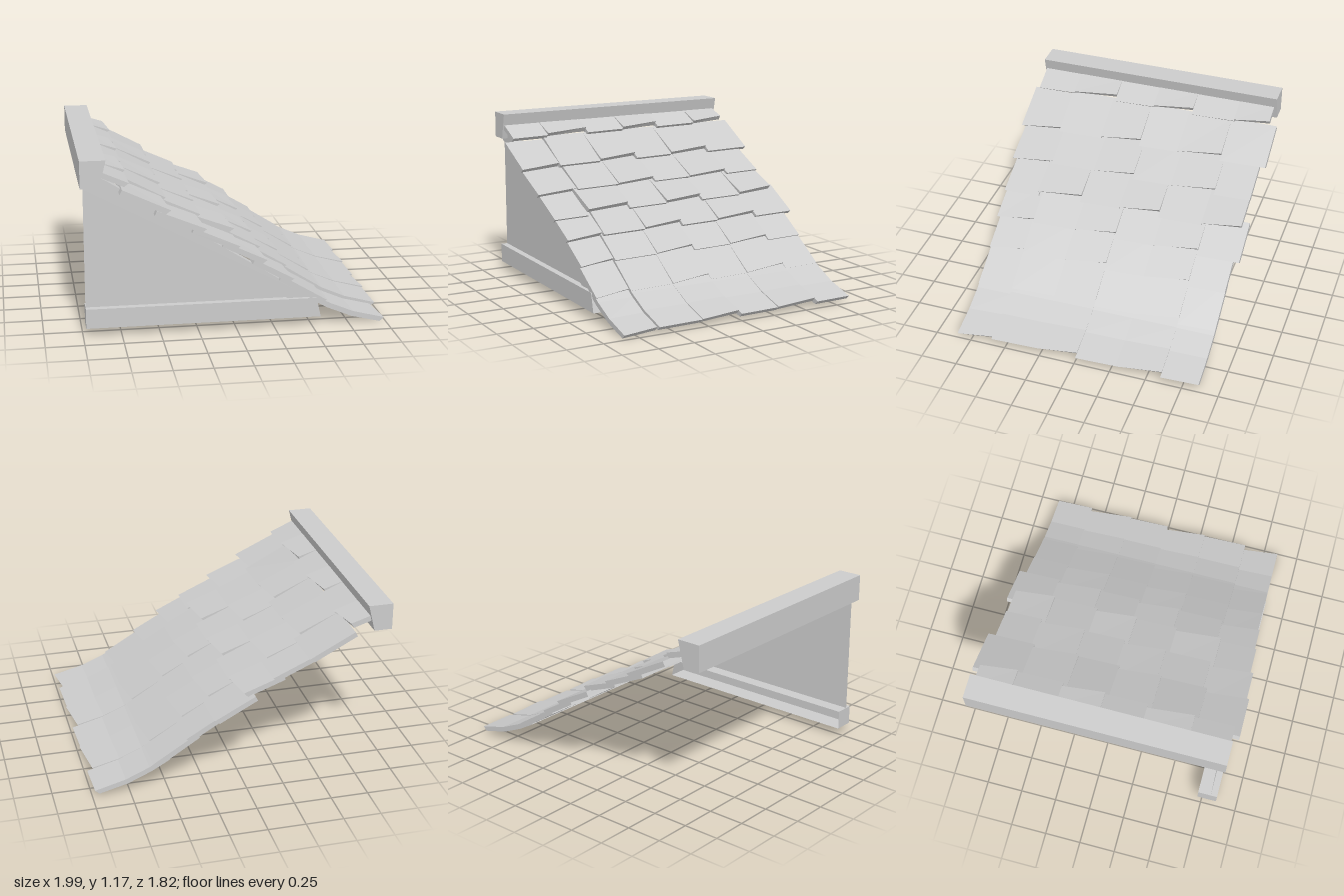
import * as THREE from 'three';

const mat = new THREE.MeshStandardMaterial({ color: 0xcccccc, flatShading: true, side: THREE.DoubleSide });

function add(parent, geometry, name) {
  const mesh = new THREE.Mesh(geometry, mat);
  mesh.name = name;
  parent.add(mesh);
  return mesh;
}

const polygon = pts => new THREE.Shape(pts.map(p => new THREE.Vector2(p[0], p[1])));

// Flat-sided prism between two depths
function prism(pts, z0, z1) {
  const g = new THREE.ExtrudeGeometry(polygon(pts), { depth: z1 - z0, bevelEnabled: false });
  return g.translate(0, 0, z0);
}

// Three-walled channel with end caps; near and far give the four corners of each end
function channel(near, far) {
  const quads = [far, [...near].reverse()];
  for (let i = 0; i < 3; i++) quads.push([near[i], near[i + 1], far[i + 1], far[i]]);
  const pos = quads.flatMap(([a, b, c, d]) => [a, b, c, a, c, d].flat());
  const g = new THREE.BufferGeometry();
  g.setAttribute('position', new THREE.Float32BufferAttribute(pos, 3));
  g.computeVertexNormals();
  return g;
}

// Tile slab: top line in x/y given thickness, its lower end slanted across the width
function tile(top, z0, z1, lift, skew) {
  const thick = 0.035;
  const under = top.map((p, i) => {
    const a = top[Math.max(i - 1, 0)], b = top[Math.min(i + 1, top.length - 1)];
    const len = Math.hypot(b[0] - a[0], b[1] - a[1]);
    const inset = i === top.length - 1 ? 0.02 : 0;
    return [p[0] + (b[1] - a[1]) / len * thick - inset, p[1] - (b[0] - a[0]) / len * thick + inset * 0.4];
  });
  const g = prism([...top, ...under.reverse()], z0, z1);
  const start = top[0], end = top[top.length - 1], prev = top[top.length - 2];
  const slope = (end[1] - prev[1]) / (end[0] - prev[0]);
  const pos = g.attributes.position;
  for (let i = 0; i < pos.count; i++) {
    const t = Math.max(0, (pos.getX(i) - start[0]) / (end[0] - start[0]));
    const slide = skew * t * t * (z1 - pos.getZ(i)) / (z1 - z0);
    pos.setX(i, pos.getX(i) - slide);
    pos.setY(i, pos.getY(i) - slide * slope + lift * t);
  }
  g.computeVertexNormals();
  return g;
}

export function createModel() {
  const model = new THREE.Group();
  model.name = 'roofSection';

  // Ridge cap, open below
  const ridge = [[-0.88, 1.0], [-0.835, 1.18], [-1, 1.18], [-1, 1.0]];
  add(model, channel(ridge.map(p => [...p, -0.88]), ridge.map(p => [...p, 0.87])), 'ridgeCap');

  // Gable wall and sloping rake board
  const wall = new THREE.ShapeGeometry(polygon([[-0.98, 0.19], [0.36, 0.19], [-0.98, 1.0]]));
  add(model, wall.translate(0, 0, 0.81), 'gableWall');
  add(model, prism([[-0.98, 0.99], [0.34, 0.2], [0.5, 0.2], [-0.85, 1.05], [-0.98, 1.08]], 0.77, 0.83), 'rakeBoard');

  // Tie beam, open at the back
  const beam = [[0.2, 0.72], [0.2, 0.855], [0.07, 0.855], [0.07, 0.72]];
  add(model, channel(beam.map(p => [-0.98, ...p]),
    beam.map(p => [p[0] > 0.1 ? 0.53 : 0.56, ...p])), 'tieBeam');

  // Tile courses from ridge to eaves: top line, raised columns, lift, front and back edges
  const courses = [
    { line: [[-0.87, 1.105], [-0.69, 1.03]], odd: 1, lift: 0.015, front: 0.86, back: -0.86 },
    { line: [[-0.74, 1.02], [-0.43, 0.86]], odd: 0, lift: 0.015, front: 0.905, back: -0.91 },
    { line: [[-0.52, 0.87], [-0.2, 0.73]], odd: 0, lift: 0.008, front: 0.89, back: -0.865 },
    { line: [[-0.28, 0.74], [0.02, 0.61]], odd: 1, lift: 0.018, front: 0.87, back: -0.86 },
    { line: [[-0.08, 0.635], [0.2, 0.49]], odd: 0, lift: 0.012, front: 0.86, back: -0.905 },
    { line: [[0.12, 0.505], [0.38, 0.355]], odd: 0, lift: 0.008, front: 0.85, back: -0.86 },
    { line: [[0.3, 0.385], [0.6, 0.2]], odd: 0, lift: 0.006, front: 0.85, back: -0.86 },
    { line: [[0.5, 0.25], [0.62, 0.183], [0.78, 0.115], [0.99, 0.06]], odd: 0, lift: 0.004, front: 0.85, back: -0.86 },
  ];
  const joints = [0.6, 0.285, -0.005, -0.29, -0.6];
  courses.forEach((course, row) => {
    const group = new THREE.Group();
    group.name = 'tileCourse' + (row + 1);
    const shift = row < 5 ? (row % 2 ? 0.015 : -0.01) : 0;
    const edges = [course.front, ...joints.map(z => z + shift), course.back];
    for (let col = 0; col < 6; col++) {
      const raised = col % 2 === course.odd;
      const drop = col === 0 && row > 0 ? 0.025 : 0;
      const line = course.line.map(([x, y]) => [x, y - drop]);
      add(group, tile(line, edges[col + 1], edges[col], raised ? course.lift : -0.004, raised ? 0.035 : 0.008), 'tile');
    }
    model.add(group);
  });

  return model;
}
